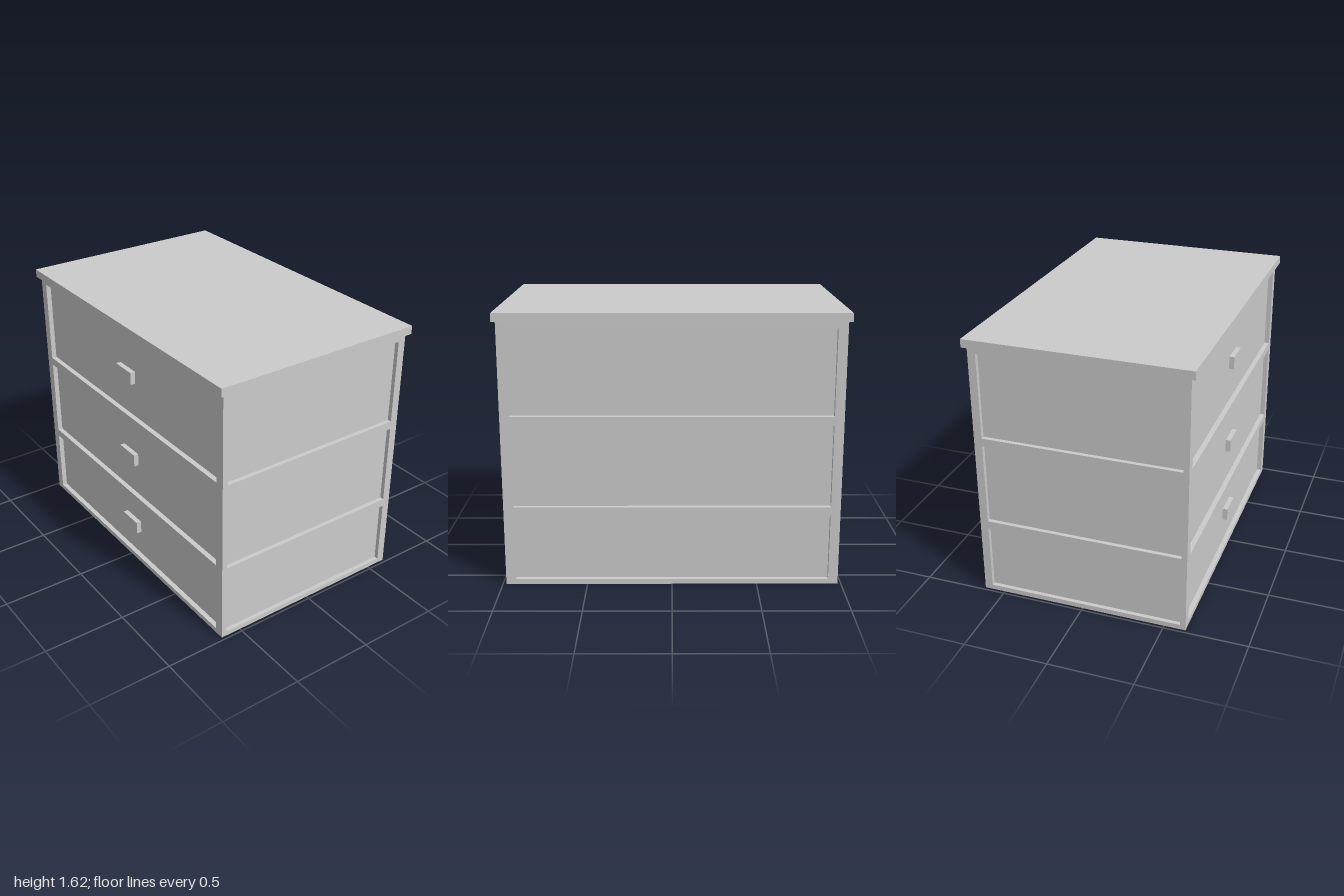
import * as THREE from 'three';

export function createModel() {
  const group = new THREE.Group();
  group.name = 'chestOfDrawers';
  const material = new THREE.MeshStandardMaterial({ color: 0xcccccc, flatShading: true });

  const W = 0.98, D = 0.628, H = 1.566;      // body half width, half depth, height
  const faceDepth = 0.03, sideDepth = 0.025; // how far the panels are set back
  const rows = [[0.03, 0.43], [0.478, 0.97], [1.02, 1.53]];
  const handleHeights = [0.237, 0.728, 1.279];

  const add = (name, geometry, x = 0, y = 0, z = 0) => {
    const mesh = new THREE.Mesh(geometry, material);
    mesh.name = name;
    mesh.position.set(x, y, z);
    group.add(mesh);
    return mesh;
  };

  // Upright frame with one opening per drawer row
  const frame = (halfWidth, left, right, depth) => {
    const rect = (P, x0, y0, x1, y1) => {
      const p = new P();
      p.moveTo(x0, y0);
      p.lineTo(x1, y0);
      p.lineTo(x1, y1);
      p.lineTo(x0, y1);
      p.closePath();
      return p;
    };
    const shape = rect(THREE.Shape, -halfWidth, 0, halfWidth, H);
    for (const [y0, y1] of rows) shape.holes.push(rect(THREE.Path, left, y0, right, y1));
    return new THREE.ExtrudeGeometry(shape, { depth, bevelEnabled: false });
  };

  // Inner box, whose faces are the recessed panels
  const innerD = D - faceDepth, innerW = W - sideDepth;
  add('innerBody', new THREE.BoxGeometry(innerW * 2, H, innerD * 2), 0, H / 2, 0);

  // Front and back frames
  const wide = frame(W, -0.923, 0.923, faceDepth);
  add('frontFrame', wide, 0, 0, innerD);
  add('backFrame', wide, 0, 0, -D);

  // Side frames, fitted between front and back; openings run from z = -0.58 to 0.595
  const leftSide = frame(innerD, -0.595, 0.58, sideDepth);
  add('leftSideFrame', leftSide, innerW, 0, 0).rotation.y = Math.PI / 2;
  const rightSide = frame(innerD, -0.58, 0.595, sideDepth);
  add('rightSideFrame', rightSide, -innerW, 0, 0).rotation.y = -Math.PI / 2;

  // Overhanging top
  add('topBoard', new THREE.BoxGeometry(2, 0.049, 1.306), 0, H + 0.0245, 0);

  // Drawer handles, flush with the front frame
  for (const y of handleHeights) {
    add('drawerHandle', new THREE.BoxGeometry(0.157, 0.077, faceDepth), 0, y, innerD + faceDepth / 2);
  }

  return group;
}
